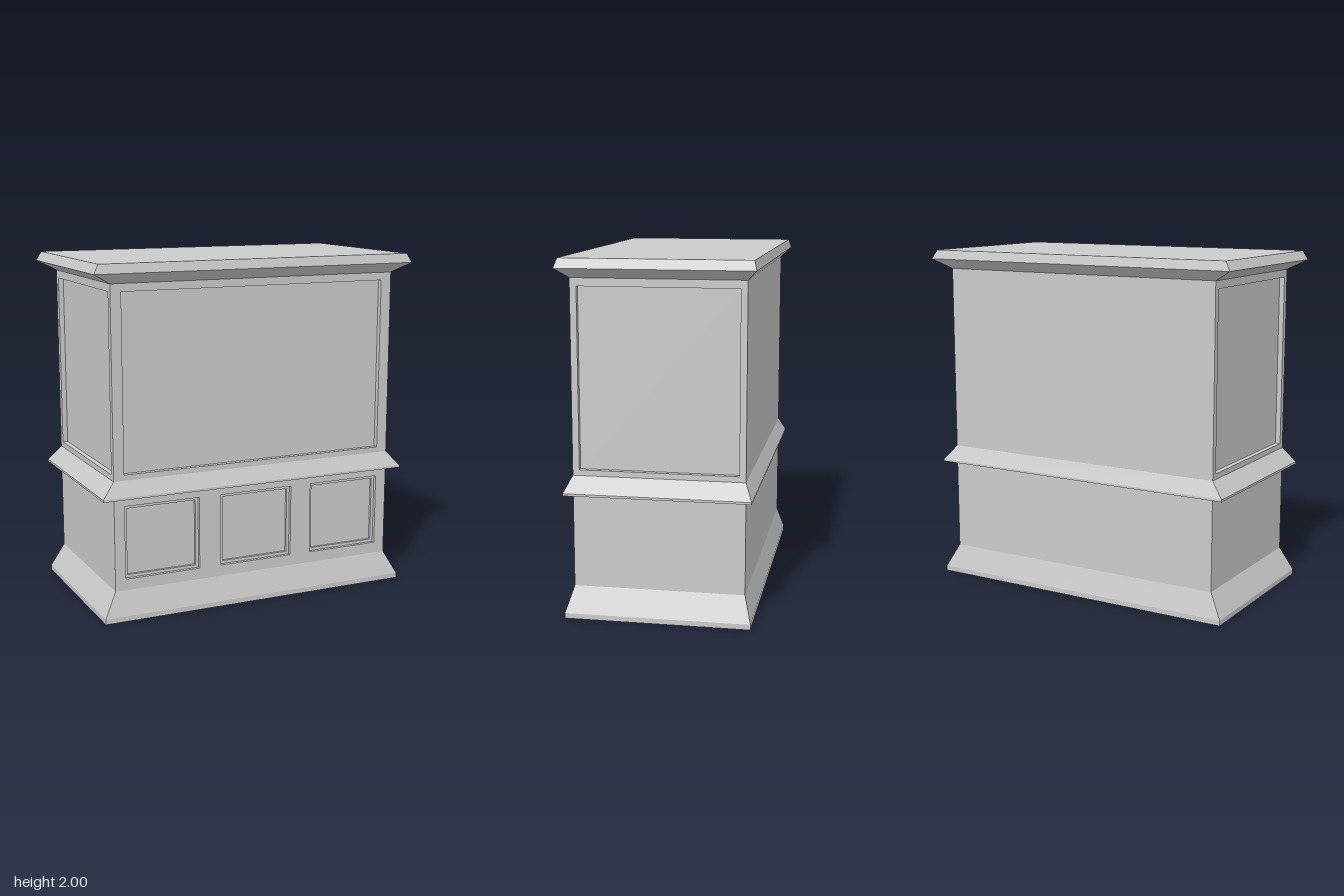
import * as THREE from 'three';

const material = new THREE.MeshStandardMaterial({ color: 0xcccccc, flatShading: true });
const W = 0.875, D = 0.48; // half width and half depth of the body
const SUNK = 0.03;         // depth of the large panels

function addMesh(parent, name, geometry) {
  const mesh = new THREE.Mesh(geometry, material);
  mesh.name = name;
  parent.add(mesh);
  return mesh;
}

// Closed rectangular moulding; each ring is [half width, half depth, height]
function moulding(rings) {
  const corners = rings.map(([x, z, y]) => [[-x, y, z], [x, y, z], [x, y, -z], [-x, y, -z]]);
  const pos = [];
  const quad = (a, b, c, d) => pos.push(...a, ...b, ...c, ...a, ...c, ...d);
  for (let i = 0; i < rings.length - 1; i++) {
    for (let j = 0; j < 4; j++) {
      const k = (j + 1) % 4;
      quad(corners[i][j], corners[i][k], corners[i + 1][k], corners[i + 1][j]);
    }
  }
  quad(...corners[corners.length - 1]);
  quad(...[...corners[0]].reverse());
  const geometry = new THREE.BufferGeometry();
  geometry.setAttribute('position', new THREE.Float32BufferAttribute(pos, 3));
  geometry.computeVertexNormals();
  return geometry;
}

function rectangle(Type, x0, x1, y0, y1) {
  const path = new Type();
  path.moveTo(x0, y0).lineTo(x1, y0).lineTo(x1, y1).lineTo(x0, y1).closePath();
  return path;
}

// Flat frame with rectangular openings, each [x0, x1, y0, y1]
function frame(outer, openings, depth) {
  const shape = rectangle(THREE.Shape, ...outer);
  shape.holes = openings.map(o => rectangle(THREE.Path, ...o));
  return new THREE.ExtrudeGeometry(shape, { depth, bevelEnabled: false });
}

function box(x0, x1, y0, y1, z0, z1) {
  return new THREE.BoxGeometry(x1 - x0, y1 - y0, z1 - z0)
    .translate((x0 + x1) / 2, (y0 + y1) / 2, (z0 + z1) / 2);
}

export function createModel() {
  const model = new THREE.Group();
  model.name = 'mantelCabinet';

  // Mouldings
  addMesh(model, 'baseMoulding', moulding([[0.95, 0.52, 0], [0.95, 0.52, 0.03], [W, D, 0.17]]));
  addMesh(model, 'waistMoulding', moulding([[0.95, 0.52, 0.705], [0.95, 0.52, 0.718], [W, D, 0.805]]));
  addMesh(model, 'cornice', moulding([[W, D, 1.89], [0.983, 0.538, 1.947], [0.953, 0.523, 2]]));

  // Lower body, with three stepped panels in its front
  const step1 = 0.02, step2 = 0.015, lowerFace = D - step1 - step2;
  addMesh(model, 'lowerBody', box(-W, W, 0.17, 0.705, -D, lowerFace));
  const openings = inset => [-0.587, 0, 0.582].map(x =>
    [x - 0.226 + inset, x + 0.226 - inset, 0.235 + inset, 0.657 - inset]);
  const lowerOuter = [-W, W, 0.17, 0.705];
  addMesh(model, 'lowerPanelInnerFrame', frame(lowerOuter, openings(0.018), step2)).position.z = lowerFace;
  addMesh(model, 'lowerPanelOuterFrame', frame(lowerOuter, openings(0), step1)).position.z = D - step1;

  // Upper body, with sunk panels on the front and both sides
  addMesh(model, 'upperBody', box(-W + SUNK, W - SUNK, 0.805, 1.89, -D, D - SUNK));
  const front = frame([-W, W, 0.805, 1.89], [[-0.813, 0.81, 0.837, 1.845]], SUNK);
  addMesh(model, 'upperFrontFrame', front).position.z = D - SUNK;
  for (const side of [1, -1]) {
    // Local x runs along -z on the left side and along +z on the right
    const outer = [-(D - SUNK), D].map(v => v * side).sort((a, b) => a - b);
    const geometry = frame([...outer, 0.805, 1.89], [[-0.443, 0.443, 0.837, 1.845]], SUNK);
    const mesh = addMesh(model, side > 0 ? 'leftSideFrame' : 'rightSideFrame', geometry);
    mesh.rotation.y = side * Math.PI / 2;
    mesh.position.x = side * (W - SUNK);
  }
  return model;
}
